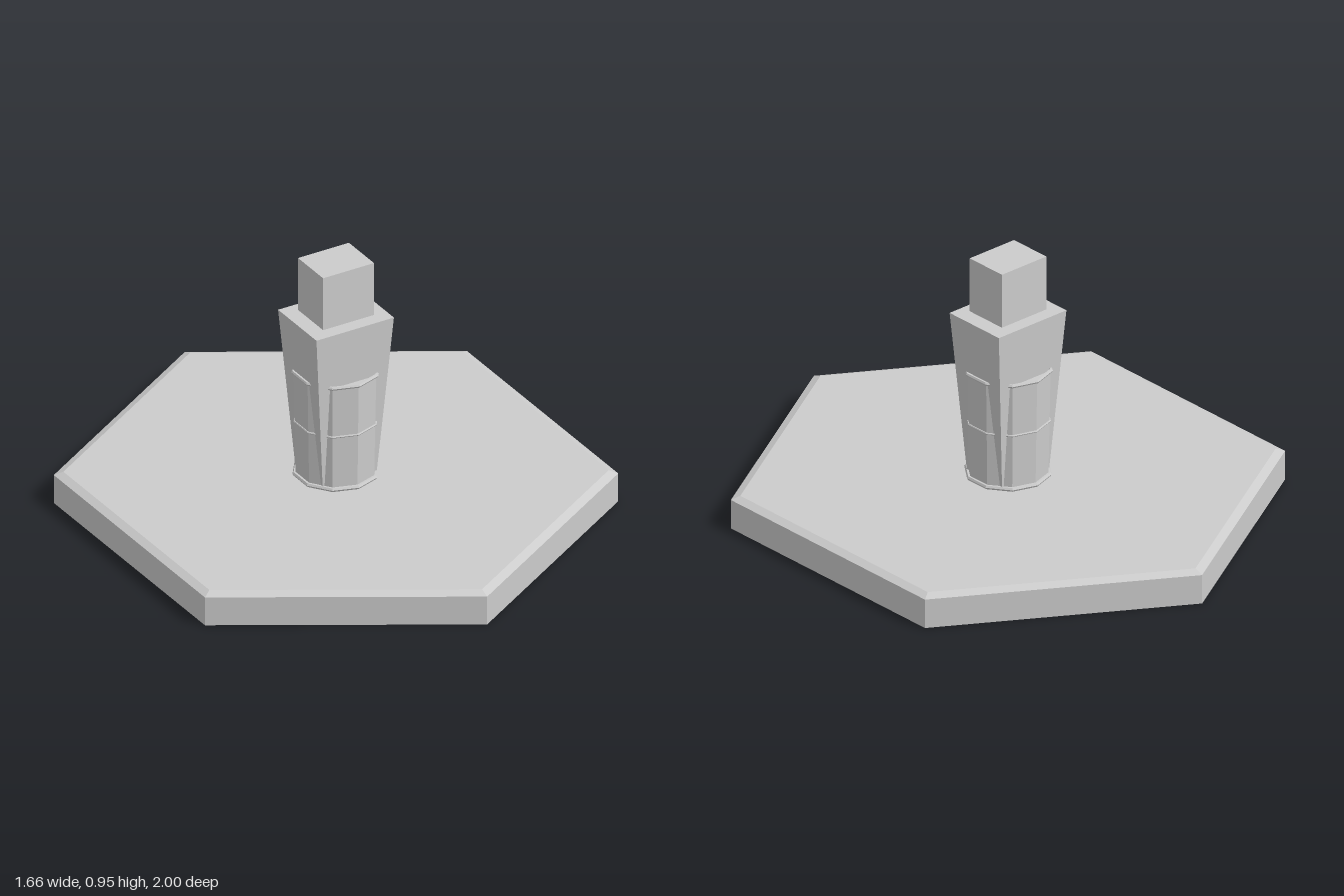
import * as THREE from 'three';

const material = new THREE.MeshStandardMaterial({ color: 0xcccccc, flatShading: true });

function add(group, name, geometry, y) {
  const mesh = new THREE.Mesh(geometry, material);
  mesh.name = name;
  mesh.position.y = y;
  group.add(mesh);
  return mesh;
}

// Box whose bottom is narrower than its top
function taperedBox(topX, topZ, bottomX, bottomZ, height) {
  const geometry = new THREE.BoxGeometry(1, height, 1);
  const p = geometry.attributes.position;
  for (let i = 0; i < p.count; i++) {
    const top = p.getY(i) > 0;
    p.setX(i, p.getX(i) * 2 * (top ? topX : bottomX));
    p.setZ(i, p.getZ(i) * 2 * (top ? topZ : bottomZ));
  }
  geometry.computeVertexNormals();
  return geometry;
}

export function createModel() {
  const model = new THREE.Group();
  model.name = 'figureOnHexBase';

  // Hexagonal base, slightly narrowed in x, with a chamfered top rim
  const base = new THREE.Group();
  base.name = 'base';
  base.scale.x = 0.961;
  add(base, 'baseSlab', new THREE.CylinderGeometry(1, 1, 0.11, 6), 0.055);
  add(base, 'baseChamfer', new THREE.CylinderGeometry(0.966, 1, 0.013, 6), 0.1165);
  model.add(base);

  // Tapered torso and head block
  const bottom = 0.123, shoulder = 0.745;
  add(model, 'torso', taperedBox(0.156, 0.127, 0.108, 0.09, shoulder - bottom), (shoulder + bottom) / 2);
  add(model, 'head', new THREE.BoxGeometry(0.205, 0.205, 0.166), 0.8525);

  // Ten-sided skirt crossing the torso, bound by three hoops
  add(model, 'skirt', new THREE.CylinderGeometry(0.15, 0.142, 0.405, 10), 0.3255);
  const hoops = [
    ['hemHoop', 0.146, 0.008, 0.131],
    ['middleHoop', 0.147, 0.004, 0.338],
    ['waistHoop', 0.151, 0.007, 0.533],
  ];
  for (const [name, radius, tube, y] of hoops) {
    const hoop = new THREE.TorusGeometry(radius, tube, 6, 10);
    hoop.rotateX(Math.PI / 2).rotateY(Math.PI / 2);
    add(model, name, hoop, y);
  }
  return model;
}
